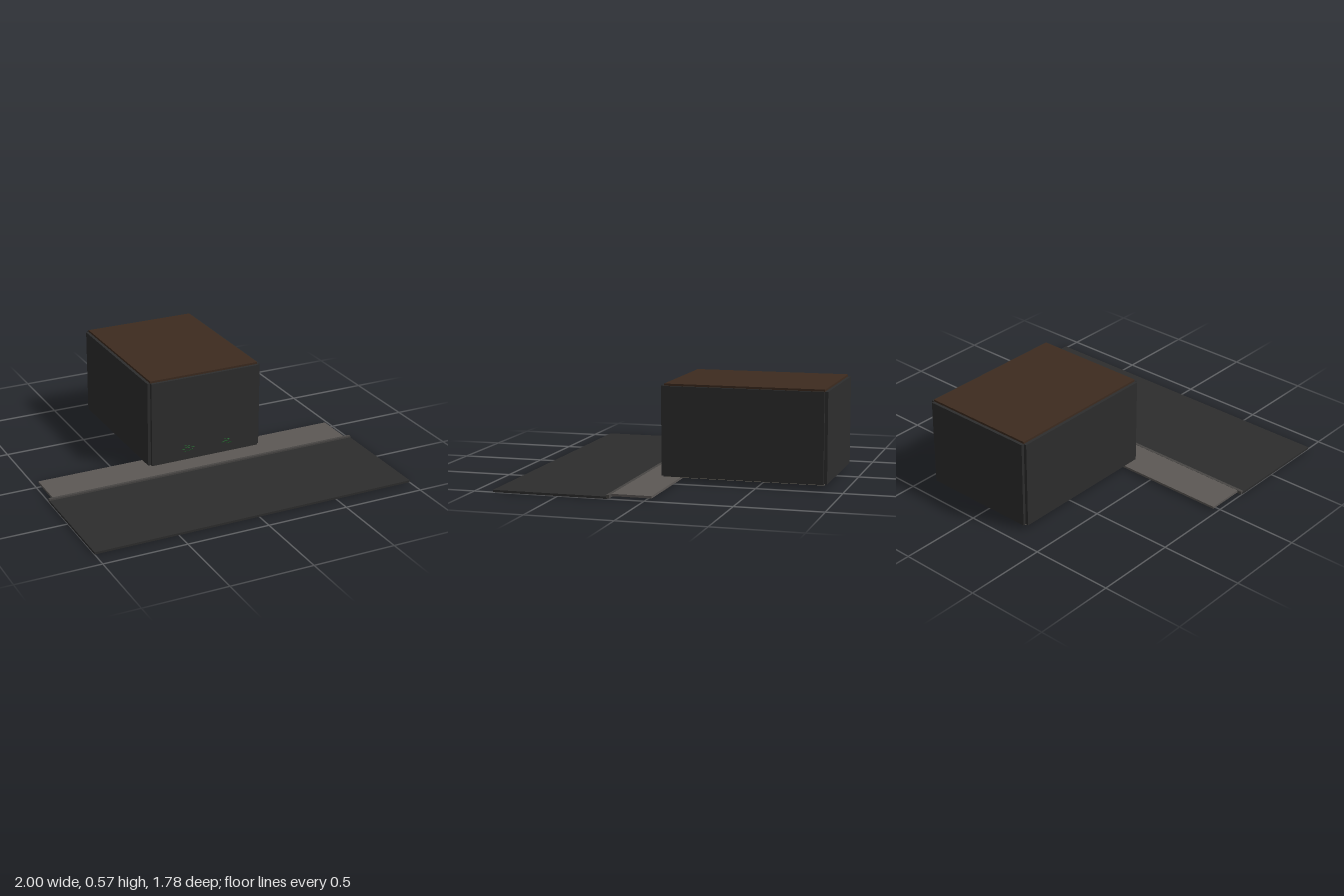
import * as THREE from 'three';

const mat = (name, color) => {
  const m = new THREE.MeshStandardMaterial({ color });
  m.name = name;
  return m;
};

export function createModel() {
  const model = new THREE.Group();
  const asphalt = mat('asphalt', 0x2d2d2d);
  const wall = mat('charcoal wall', 0x2d2d2d);
  const paving = mat('paving', 0x5c5855);
  const kerbGrey = mat('kerb grey', 0x484644);
  const wood = mat('dark wood', 0x3d2b1f);
  const tile = mat('floor tile', 0x928b7f);
  const leafGreen = mat('leaf green', 0x2e7d3a);

  // Box given by its limits on each axis
  const slab = (name, material, [x0, x1], [y0, y1], [z0, z1]) => {
    const mesh = new THREE.Mesh(new THREE.BoxGeometry(x1 - x0, y1 - y0, z1 - z0), material);
    mesh.position.set((x0 + x1) / 2, (y0 + y1) / 2, (z0 + z1) / 2);
    mesh.name = name;
    model.add(mesh);
  };

  // Street
  slab('road', asphalt, [-1, 1], [0, 0.013], [0.212, 0.887]);
  slab('kerb', kerbGrey, [-1, 1], [0.004, 0.023], [0.2, 0.218]);
  slab('sidewalk', paving, [-0.975, 0.962], [0.009, 0.022], [-0.031, 0.205]);

  // Room: six slabs around an inner volume, leaving notched edges
  const X = [-0.295, 0.412], Y = [0.027, 0.555], Z = [-0.875, 0.066], t = 0.018;
  slab('floor', tile, X, [0.021, 0.034], Z);
  slab('roof', wood, X, [0.553, 0.567], Z);
  slab('rightWall', wall, [X[0] - t, X[0]], Y, Z);
  slab('leftWall', wall, [X[1], X[1] + t], Y, Z);
  slab('backWall', wall, X, Y, [Z[0] - t, Z[0]]);
  slab('frontWall', wall, X, Y, [Z[1], Z[1] + t]);

  // Sprigs of small leaves fanning out of the front wall
  const leafGeo = new THREE.SphereGeometry(1, 8, 6);
  const sprig = (x, y, count, spread) => {
    const group = new THREE.Group();
    group.name = 'sprig';
    for (let i = 0; i < count; i++) {
      const a = i * 2.4, r = spread * Math.sqrt((i + 0.5) / count);
      const leaf = new THREE.Mesh(leafGeo, leafGreen);
      leaf.name = 'leaf';
      leaf.scale.set(0.008, 0.002, 0.013);
      leaf.position.set(Math.cos(a) * r, Math.sin(a) * r * 0.55, 0.006 + 0.007 * (i % 3));
      leaf.rotation.set(-0.5, Math.cos(a) * 0.9, 0.3 * Math.sin(a));
      group.add(leaf);
    }
    group.position.set(x, y, 0.084);
    model.add(group);
  };
  sprig(-0.07, 0.105, 9, 0.036);
  sprig(0.195, 0.1, 7, 0.03);

  return model;
}
